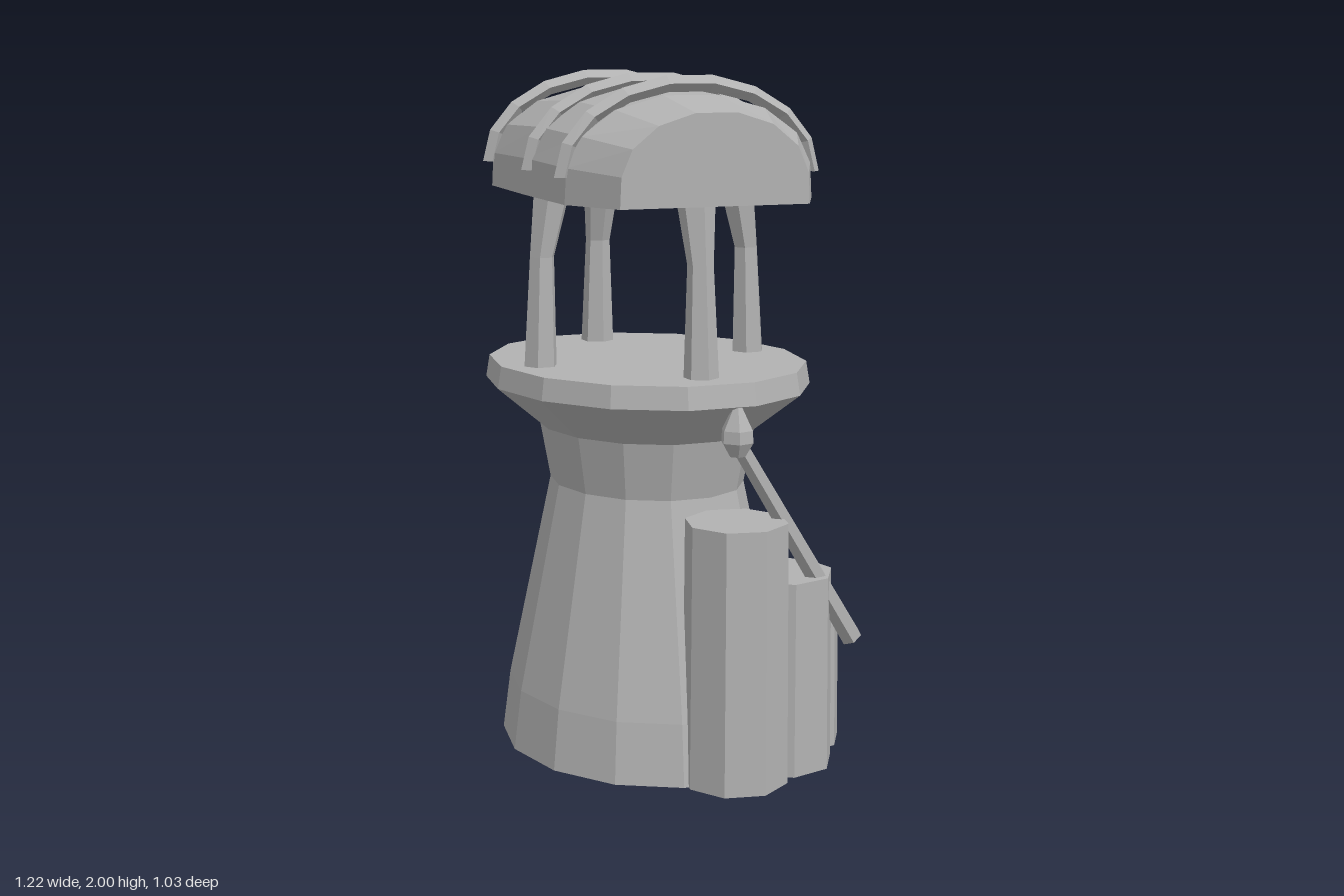
import * as THREE from 'three';

const V2 = (x, y) => new THREE.Vector2(x, y);
const V3 = (x, y, z) => new THREE.Vector3(x, y, z);

export function createModel() {
  const model = new THREE.Group();
  model.name = 'watchtower';
  const stone = new THREE.MeshStandardMaterial({ color: 0xb2b2b2, flatShading: true, side: THREE.DoubleSide });
  stone.name = 'plain grey';

  const add = (parent, name, geometry, x = 0, y = 0, z = 0) => {
    const mesh = new THREE.Mesh(geometry, stone);
    mesh.name = name;
    mesh.position.set(x, y, z);
    parent.add(mesh);
    return mesh;
  };
  const lathe = (pts, sides, start = 0) =>
    new THREE.LatheGeometry(pts.map(([r, y]) => V2(r, y)), sides, start);

  // Capped skin through a list of rings; an open one leaves out the strip from last to first point
  const loft = (rings, open = false) => {
    const n = rings[0].length, pos = [], idx = [];
    rings.forEach((ring) => ring.forEach((p) => pos.push(p.x, p.y, p.z)));
    for (let r = 0; r < rings.length - 1; r++) {
      for (let i = 0; i < (open ? n - 1 : n); i++) {
        const a = r * n + i, b = r * n + (i + 1) % n;
        idx.push(a, b, a + n, b, b + n, a + n);
      }
    }
    const last = (rings.length - 1) * n;
    for (let i = 1; i < n - 1; i++) {
      idx.push(0, i + 1, i, last, last + i, last + i + 1);
    }
    const g = new THREE.BufferGeometry();
    g.setAttribute('position', new THREE.Float32BufferAttribute(pos, 3));
    g.setIndex(idx);
    g.computeVertexNormals();
    return g;
  };

  // Oval tower with flared platform, hollow from below
  const CX = -0.01, CZ = 0.043;
  const tower = add(model, 'towerBody', lathe([
    [0.488, 0], [0.462, 0.18], [0.318, 0.8], [0.352, 0.97],
    [0.528, 1.1], [0.516, 1.165], [0, 1.165],
  ], 14, Math.PI / 14), CX, 0, CZ);
  tower.scale.z = 0.86;

  // Pointed doorway block at the back
  const arch = new THREE.Shape([
    [0.16, 0], [0.165, 0.23], [0.11, 0.4], [0, 0.515], [-0.11, 0.4], [-0.165, 0.23], [-0.16, 0],
  ].map(([x, y]) => V2(x, y)));
  add(model, 'doorway', new THREE.ExtrudeGeometry(arch, { depth: 0.12, bevelEnabled: false }), CX, 0, -0.36);

  // Hollow stepping pillars climbing round the side
  [
    [0.09, -0.365, 0.19, 0.16, Math.PI / 8],
    [0.27, -0.285, 0.38, 0.16, Math.PI / 8],
    [0.405, -0.14, 0.575, 0.16, Math.PI / 8],
    [0.457, 0.065, 0.765, 0.154, -0.06],
  ].forEach(([x, z, h, r, turn], i) => {
    add(model, `step${i + 1}`, lathe([[r, 0], [r - 0.006, h], [0, h]], 8, turn), x, 0, z);
  });

  // Sloping handrail with a pointed knob
  const top = V3(0.488, 1.0, 0.09), foot = V3(0.503, 0.365, -0.33);
  const rail = add(model, 'handrail', new THREE.CylinderGeometry(0.025, 0.033, top.distanceTo(foot), 6));
  rail.position.copy(top).add(foot).multiplyScalar(0.5);
  rail.quaternion.setFromUnitVectors(V3(0, 1, 0), top.clone().sub(foot).normalize());
  add(model, 'railKnob', lathe([[0, 0.96], [0.024, 0.96], [0.048, 1.0], [0.046, 1.035], [0, 1.125]], 6),
    0.49, 0, 0.09);

  // Canopy group, turned relative to the tower
  const canopy = new THREE.Group();
  canopy.name = 'canopy';
  canopy.position.set(CX, 0, CZ);
  canopy.rotation.y = -0.27;
  model.add(canopy);

  // Four posts that bend inward at the top
  const postRing = (r, x, y) => Array.from({ length: 6 }, (_, i) => {
    const a = (i * Math.PI) / 3;
    return V3(x + r * Math.cos(a), y, -r * Math.sin(a));
  });
  [0.378, 0.335, 0.378, 0.335].forEach((d, i) => {
    const post = add(canopy, `post${i + 1}`, loft([
      postRing(0.05, d, 1.16), postRing(0.037, d - 0.008, 1.48), postRing(0.058, d - 0.045, 1.69),
    ]));
    post.rotation.y = (i * Math.PI) / 2 + 0.07;
  });

  // Barrel roof shell, tapering at both ends, open underneath
  const half = [[1, 0], [0.985, 0.34], [0.87, 0.63], [0.6, 0.87], [0.22, 1]];
  const profile = [...half.map(([z, y]) => [-z, y]), ...[...half].reverse()];
  const roofRing = ([x, w, h]) => profile.map(([z, y]) => V3(x, 1.657 + y * h, z * w));
  add(canopy, 'roof', loft([
    [-0.55, 0.272, 0.248], [-0.36, 0.364, 0.288], [0, 0.37, 0.303], [0.36, 0.364, 0.288], [0.55, 0.272, 0.248],
  ].map(roofRing), true));

  // Three diamond-section ribs arching over the roof
  const ribRings = Array.from({ length: 10 }, (_, i) => {
    const a = (i * Math.PI) / 9, c = Math.cos(a), s = Math.sin(a);
    const point = (x, d) => V3(x, 1.73 + (0.25 + d) * s, (0.367 + d) * c);
    return [point(0, 0.023), point(-0.023, 0), point(0, -0.023), point(0.023, 0)];
  });
  const ribGeometry = loft(ribRings.map((ring) => ring.reverse()));
  [-0.365, 0.04, 0.35].forEach((x, i) => add(canopy, `roofRib${i + 1}`, ribGeometry, x));

  return model;
}
